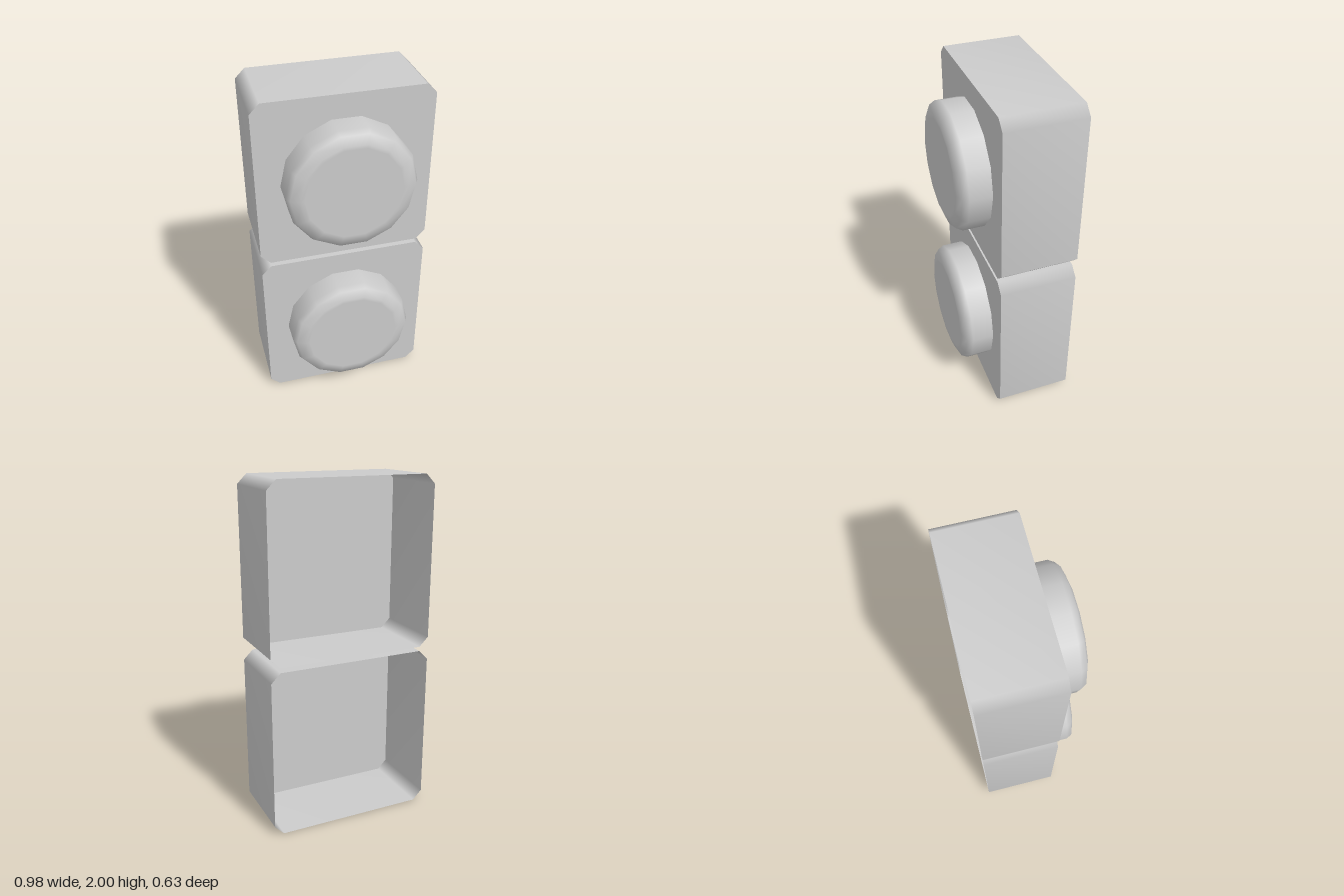
import * as THREE from 'three';

const HALF_W = 0.491, HALF_H = 0.493, CUT = 0.055;
const BACK = -0.313, FRONT = 0.135;

// Outline of a housing: a square with cut corners, counter-clockwise
function outline() {
  const p = [];
  for (const [sx, sy] of [[1, 1], [-1, 1], [-1, -1], [1, -1]]) {
    const a = new THREE.Vector2(sx * HALF_W, sy * (HALF_H - CUT));
    const b = new THREE.Vector2(sx * (HALF_W - CUT), sy * HALF_H);
    p.push(...(sx * sy > 0 ? [a, b] : [b, a]));
  }
  return p;
}

// Thin wall swept along z, with shared corners for soft shading
function wallGeometry(points) {
  const pos = [], index = [], n = points.length;
  points.forEach((p, i) => {
    pos.push(p.x, p.y, BACK, p.x, p.y, FRONT);
    const a = 2 * i, b = 2 * ((i + 1) % n);
    index.push(a, b, b + 1, a, b + 1, a + 1);
  });
  const g = new THREE.BufferGeometry();
  g.setAttribute('position', new THREE.Float32BufferAttribute(pos, 3));
  g.setIndex(index);
  g.computeVertexNormals();
  return g;
}

export function createModel() {
  const model = new THREE.Group();
  model.name = 'buttonPanel';
  const material = new THREE.MeshStandardMaterial({ color: 0xcccccc, side: THREE.DoubleSide });

  const points = outline();
  const wall = wallGeometry(points);
  const plate = new THREE.ShapeGeometry(new THREE.Shape(points)).translate(0, 0, FRONT);

  // Fourteen-sided button with a rounded rim, turned to face +z
  const profile = [[0.361, FRONT], [0.361, 0.26], [0.342, 0.294], [0.29, 0.313], [0.27, 0.313], [0, 0.313]]
    .map(([r, z]) => new THREE.Vector2(r, z));
  const button = new THREE.LatheGeometry(profile, 14, Math.PI / 2)
    .rotateX(Math.PI / 2).translate(0.005, 0.006, 0);

  // Two identical units, stacked with a narrow gap
  [['lower', HALF_H + 0.002], ['upper', 2 - HALF_H]].forEach(([name, y]) => {
    const unit = new THREE.Group();
    unit.name = name + 'Unit';
    unit.position.y = y;
    for (const [part, geometry] of [['housingWall', wall], ['frontPlate', plate], ['button', button]]) {
      const mesh = new THREE.Mesh(geometry, material);
      mesh.name = part;
      unit.add(mesh);
    }
    model.add(unit);
  });
  return model;
}
